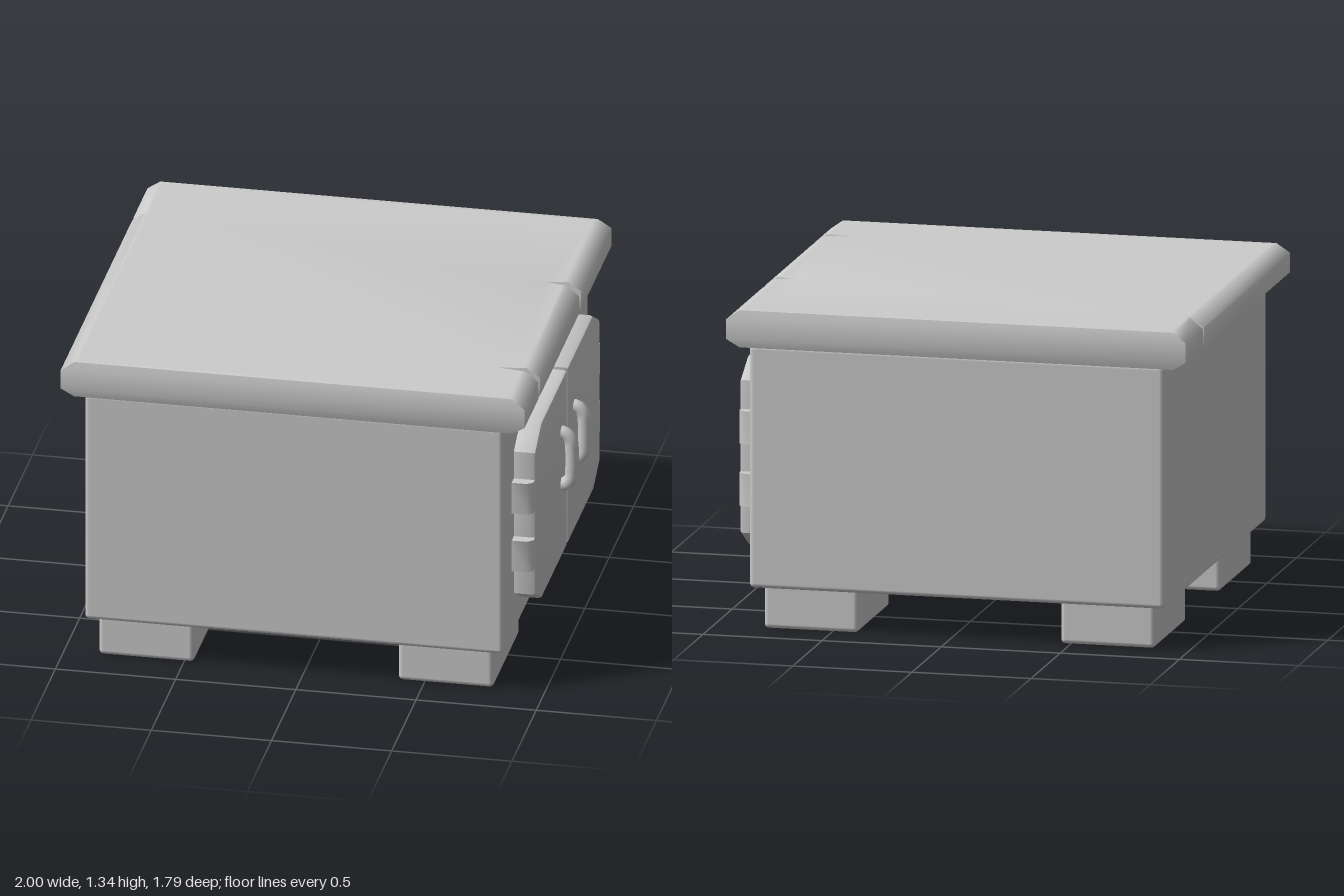
import * as THREE from 'three';
import { toCreasedNormals } from 'three/addons/utils/BufferGeometryUtils.js';
import { RoundedBoxGeometry } from 'three/addons/geometries/RoundedBoxGeometry.js';

const material = new THREE.MeshStandardMaterial({ color: 0xcccccc });

function part(parent, name, geometry) {
  const mesh = new THREE.Mesh(geometry, material);
  mesh.name = name;
  parent.add(mesh);
  return mesh;
}

// Softened box given by its minimum and maximum corners
function box(parent, name, min, max, radius) {
  const s = max.map((v, i) => v - min[i]);
  const mesh = part(parent, name, new RoundedBoxGeometry(...s, 2, radius));
  mesh.position.set(...max.map((v, i) => (v + min[i]) / 2));
  return mesh;
}

// Chamfered top slab: stacked outlines whose notches narrow towards the bottom
function slabGeometry() {
  const levels = [ // y, inset in x, inset in z
    [1.18, 0.08, 0.03], [1.18, 0.055, 0.01], [1.215, 0, 0],
    [1.295, 0, 0], [1.335, 0.055, 0.01], [1.335, 0.07, 0.03],
  ];
  // Crack tip x and half width of the mouth, per level
  const frontCrack = { z: 0.595, tip: [0.845, 0.845, 0.88, 0.85, 0.76, 0.76], half: [0.003, 0.006, 0.011, 0.022, 0.017, 0.015] };
  const rearCrack = { z: -0.25, tip: [0.85, 0.875, 0.93, 0.87, 0.78, 0.78], half: [0, 0, 0, 0.024, 0.018, 0.015] };
  const backCrack = { z: -0.59, tip: [-0.92, -0.945, -1, -0.975, -0.93, -0.93], half: [0, 0, 0, 0.012, 0.008, 0] };

  const loops = levels.map(([y, ix, iz], k) => {
    const x0 = -1 + ix, x1 = 0.93 - ix, z1 = 0.895 - iz;
    const notch = (x, c, dir) => [
      [x, c.z - dir * c.half[k]], [c.tip[k], c.z], [x, c.z + dir * c.half[k]],
    ];
    const outline = [
      [x0, -z1], [x1, -z1], ...notch(x1, rearCrack, 1), ...notch(x1, frontCrack, 1),
      [x1, z1], [x0, z1], ...notch(x0, backCrack, -1),
    ];
    return outline.map(([x, z]) => new THREE.Vector3(x, y, z));
  });

  const tris = [];
  for (let k = 0; k < loops.length - 1; k++) {
    const lo = loops[k], hi = loops[k + 1], n = lo.length;
    for (let i = 0; i < n; i++) {
      const j = (i + 1) % n;
      tris.push(lo[i], hi[i], lo[j], lo[j], hi[i], hi[j]);
    }
  }
  // Bottom and top caps
  const cap = (loop, up) => {
    const flat = loop.map((p) => new THREE.Vector2(p.x, p.z));
    for (const [a, b, c] of THREE.ShapeUtils.triangulateShape(flat, [])) {
      tris.push(loop[a], loop[up ? c : b], loop[up ? b : c]);
    }
  };
  cap(loops[0], false);
  cap(loops[loops.length - 1], true);
  return toCreasedNormals(new THREE.BufferGeometry().setFromPoints(tris), 1.0);
}

// Door leaf with clipped outer corners; shape x runs along z after turning
function doorGeometry(side) {
  const b = 0.015;
  const outline = [
    [0.012, 0.28], [0.53, 0.28], [0.66, 0.365], [0.66, 0.985], [0.53, 1.07], [0.012, 1.07],
  ];
  // Pull the outline in so that the bevel grows back to full size
  const pts = outline.map(([z, y]) => new THREE.Vector2(
    -side * (z + (z < 0.1 ? b : z > 0.6 ? -b : -b * 0.5)),
    y + (y === 0.28 ? b : y === 1.07 ? -b : 0)));
  const g = new THREE.ExtrudeGeometry(new THREE.Shape(pts), {
    depth: 0.1 - b, bevelEnabled: true, bevelSize: b, bevelThickness: b, bevelSegments: 2,
  });
  g.rotateY(Math.PI / 2).translate(0.83, 0, 0);
  return toCreasedNormals(g, 0.7);
}

// Hinge block with chamfered front corners, standing upright
function hingeGeometry() {
  const pts = [
    [0.82, -0.034], [0.9, -0.034], [0.925, -0.014], [0.925, 0.014], [0.9, 0.034], [0.82, 0.034],
  ].map(([x, z]) => new THREE.Vector2(x, z));
  const g = new THREE.ExtrudeGeometry(new THREE.Shape(pts), { depth: 0.138, bevelEnabled: false });
  g.rotateX(-Math.PI / 2);
  return toCreasedNormals(g, 0.8);
}

// Curved pull handle
function handleGeometry() {
  const path = new THREE.CatmullRomCurve3([
    [0.91, 0.846], [0.945, 0.843], [0.968, 0.815], [0.973, 0.77],
    [0.973, 0.69], [0.968, 0.645], [0.945, 0.617], [0.91, 0.614],
  ].map(([x, y]) => new THREE.Vector3(x, y, 0)));
  return new THREE.TubeGeometry(path, 24, 0.028, 10);
}

export function createModel() {
  const model = new THREE.Group();
  model.name = 'cabinet';

  part(model, 'topSlab', slabGeometry());
  box(model, 'body', [-0.905, 0.175, -0.875], [0.838, 1.19, 0.875], 0.02);

  for (const side of [1, -1]) {
    const label = side > 0 ? 'front' : 'rear';

    // Feet
    for (const [x0, x1, end] of [[-0.855, -0.458, 'Back'], [0.39, 0.787, 'Door']]) {
      const z = [0.29 * side, 0.83 * side].sort((a, b) => a - b);
      box(model, `${label}${end}Foot`, [x0, 0, z[0]], [x1, 0.2, z[1]], 0.02);
    }

    // Door with its handle and hinges
    const door = new THREE.Group();
    door.name = `${label}Door`;
    model.add(door);
    part(door, 'doorPanel', doorGeometry(side));
    part(door, 'handle', handleGeometry()).position.z = 0.13 * side;
    for (const y of [0.735, 0.475]) {
      part(door, 'hinge', hingeGeometry()).position.set(0, y, 0.67 * side);
    }
  }
  return model;
}
